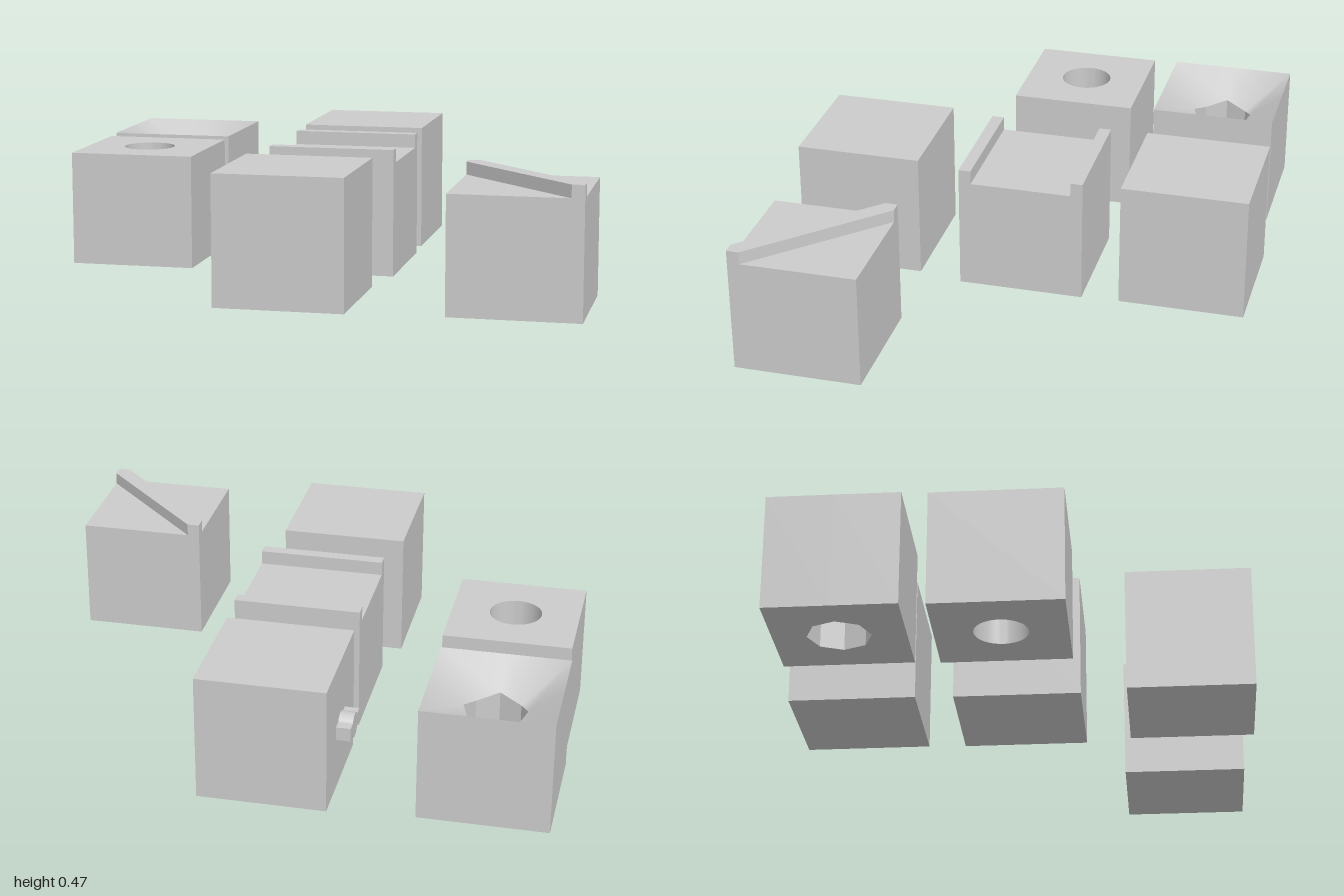
import * as THREE from 'three';
import { toCreasedNormals } from 'three/addons/utils/BufferGeometryUtils.js';

const SIZE = 0.463, HALF = SIZE / 2, BASE = 0.42, FULL = 0.466;
const material = new THREE.MeshStandardMaterial({ color: 0xcccccc });

function add(group, name, geometry, x = 0, y = 0, z = 0) {
  const mesh = new THREE.Mesh(geometry, material);
  mesh.name = name;
  mesh.position.set(x, y, z);
  group.add(mesh);
  return mesh;
}

function block(name, x, z, y = 0) {
  const group = new THREE.Group();
  group.name = name;
  group.position.set(x, y, z);
  return group;
}

function addBox(group, name, w, h, d, x, y, z) {
  return add(group, name, new THREE.BoxGeometry(w, h, d), x, y + h / 2, z);
}

// Extrude a plan outline (x, -z) upwards
function extrudeUp(shape, height) {
  const g = new THREE.ExtrudeGeometry(shape, { depth: height, bevelEnabled: false, curveSegments: 32 });
  return toCreasedNormals(g.rotateX(-Math.PI / 2), 0.5);
}

function polygon(points) {
  return new THREE.Shape(points.map(([x, y]) => new THREE.Vector2(x, y)));
}

// Skin between successive eight-point rings
function loft(rings, smooth) {
  const index = [];
  for (let r = 0; r < rings.length - 1; r++) {
    for (let k = 0; k < 8; k++) {
      const a = r * 8 + k, b = r * 8 + (k + 1) % 8;
      index.push(a, a + 8, b + 8, a, b + 8, b);
    }
  }
  let g = new THREE.BufferGeometry();
  g.setAttribute('position', new THREE.Float32BufferAttribute(rings.flat(2), 3));
  g.setIndex(index);
  if (!smooth) g = g.toNonIndexed();
  g.computeVertexNormals();
  return g;
}

function ring(square, radius, heightAt) {
  return Array.from({ length: 8 }, (_, k) => {
    const c = Math.cos(k * Math.PI / 4), s = Math.sin(k * Math.PI / 4);
    const f = square ? radius / Math.max(Math.abs(c), Math.abs(s)) : radius;
    return [c * f, heightAt(c * f, s * f), s * f];
  });
}

// Block with a pyramidal funnel running into an octagonal bore
function funnelBlock() {
  const group = block('funnelBlock', -0.768, -0.58);
  const slope = (x, z) => BASE - 0.75 * (HALF - Math.max(Math.abs(x), Math.abs(z)));
  const floor = () => 0;
  const boreBottom = ring(false, 0.112, floor);
  const boreTop = ring(false, 0.112, slope);
  const rim = ring(true, HALF, () => BASE);
  add(group, 'funnelBody', loft([boreBottom, ring(true, HALF, floor), rim], false));
  add(group, 'funnelSlope', loft([rim, boreTop], true));
  add(group, 'funnelBore', loft([boreTop, boreBottom], false));
  return group;
}

// Block with a round through hole
function holeBlock() {
  const group = block('holeBlock', -0.758, -0.028);
  const shape = polygon([[-HALF, -HALF], [HALF, -HALF], [HALF, HALF], [-HALF, HALF]]);
  shape.holes.push(new THREE.Path().absarc(0, 0, 0.095, 0, Math.PI * 2, true));
  add(group, 'holeBody', extrudeUp(shape, BASE));
  return group;
}

// Block with a small lugged peg on its right side
function pegBlock() {
  const group = block('pegBlock', 0, -0.618, 0.005);
  addBox(group, 'pegBody', SIZE, FULL, SIZE, 0, 0, 0);
  const peg = new THREE.CylinderGeometry(0.045, 0.045, 0.052, 24).rotateZ(Math.PI / 2);
  add(group, 'peg', peg, -HALF - 0.026, 0.22, 0);
  addBox(group, 'pegLugs', 0.052, 0.05, 0.15, -HALF - 0.026, 0.195, 0);
  return group;
}

// Block with two parallel rails along its front and back edges
function channelBlock() {
  const group = block('channelBlock', 0.008, -0.017, 0.005);
  const t = 0.045, h = BASE - 0.005;
  const outline = polygon([
    [-HALF, 0], [HALF, 0], [HALF, FULL], [HALF - t, FULL],
    [HALF - t, h], [t - HALF, h], [t - HALF, FULL], [-HALF, FULL],
  ]);
  const g = new THREE.ExtrudeGeometry(outline, { depth: SIZE, bevelEnabled: false });
  g.translate(0, 0, -HALF).rotateY(Math.PI / 2);
  add(group, 'channelBody', g);
  return group;
}

// Block with a diagonal rail clipped to its corners
function diagonalBlock() {
  const group = block('diagonalRailBlock', 0.768, 0.582);
  addBox(group, 'diagonalBody', SIZE, BASE, SIZE, 0, 0, 0);
  const c = HALF - 0.045;
  const rail = polygon([[-HALF, HALF], [-HALF, c], [c, -HALF], [HALF, -HALF], [HALF, -c], [-c, HALF]]);
  add(group, 'diagonalRail', extrudeUp(rail, FULL - BASE), 0, BASE, 0);
  return group;
}

// Plain solid block
function plainBlock() {
  const group = block('plainBlock', -0.035, 0.613);
  addBox(group, 'plainBody', SIZE, FULL, SIZE, 0, 0, 0);
  return group;
}

export function createModel() {
  const model = new THREE.Group();
  model.name = 'blockSet';
  model.add(funnelBlock(), holeBlock(), pegBlock(), channelBlock(), diagonalBlock(), plainBlock());
  return model;
}
